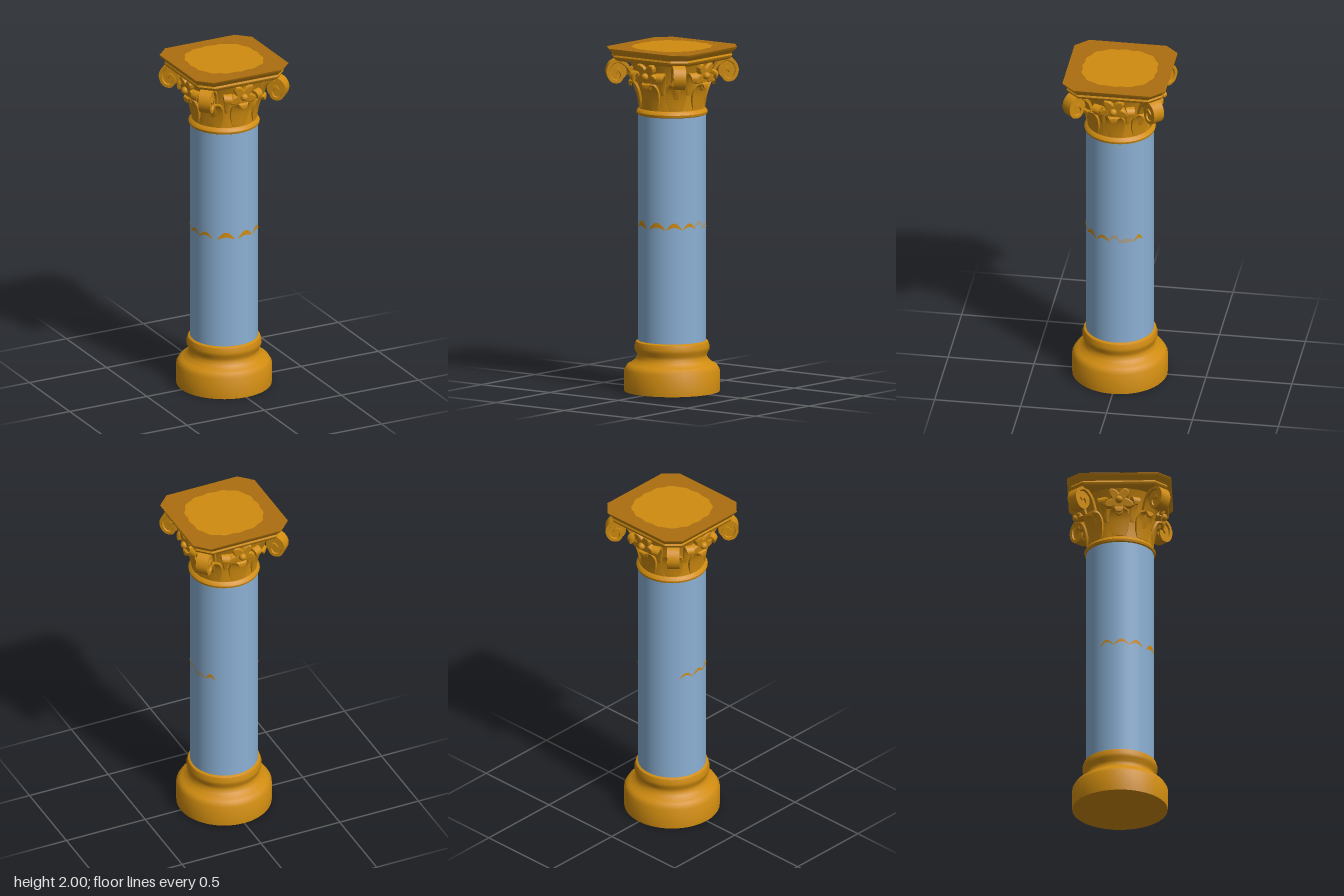
import * as THREE from 'three';
import { toCreasedNormals } from 'three/addons/utils/BufferGeometryUtils.js';

const mat = (name, color) => new THREE.MeshStandardMaterial({ name, color });

// Skin closed rings (clockwise seen from above, bottom to top) and cap both ends
function loft(rings) {
  const n = rings[0].length, index = [];
  for (let j = 0; j < rings.length - 1; j++) {
    for (let i = 0; i < n; i++) {
      const k = (i + 1) % n, a = j * n + i, b = j * n + k;
      index.push(a, a + n, b + n, a, b + n, b);
    }
  }
  const e = (rings.length - 1) * n;
  for (let i = 1; i < n - 1; i++) index.push(0, i, i + 1, e, e + i + 1, e + i);
  const g = new THREE.BufferGeometry();
  g.setAttribute('position', new THREE.Float32BufferAttribute(rings.flat(2), 3));
  g.setIndex(index);
  return toCreasedNormals(g, 0.7);
}

// Strip that follows a path of [radius, height, half width], bending outward along +z
function ribbon(path, t, steps) {
  const curve = new THREE.CatmullRomCurve3(path.map(([r, y, w]) => new THREE.Vector3(w, y, r)));
  const rings = [];
  for (let i = 0; i <= steps; i++) {
    const p = curve.getPoint(i / steps), d = curve.getTangent(i / steps);
    const l = Math.hypot(d.y, d.z), ny = -d.z / l * t, nz = d.y / l * t, w = Math.max(p.x, 0.004);
    rings.push([[-w, -1], [w, -1], [w, 0.4], [w * 0.4, 1], [-w * 0.4, 1], [-w, 0.4]]
      .map(([x, s]) => [x, p.y + ny * s, p.z + nz * s]));
  }
  return loft(rings);
}

// Chamfered square outline
function octagon(h, c, y) {
  return [[-c, -h], [c, -h], [h, -c], [h, c], [c, h], [-c, h], [-h, c], [-h, -c]].map(([x, z]) => [x, y, z]);
}

function lathe(points, segments = 40) {
  return toCreasedNormals(new THREE.LatheGeometry(points.map(p => new THREE.Vector2(...p)), segments), 0.7);
}

// Thin crest-shaped patch wrapped on the shaft
function crest(angle, half, rise, thick) {
  const pos = [], index = [], n = 12, r = 0.1975;
  for (let i = 0; i <= n; i++) {
    const s = i / n * 2 - 1, a = angle + s * half;
    const mid = 0.96 + rise * Math.cos(s * Math.PI / 2), t = thick * (1 - s * s) + 0.003;
    for (const y of [mid - t, mid + t]) pos.push(r * Math.sin(a), y, r * Math.cos(a));
    if (i < n) index.push(2 * i, 2 * i + 2, 2 * i + 3, 2 * i, 2 * i + 3, 2 * i + 1);
  }
  const g = new THREE.BufferGeometry();
  g.setAttribute('position', new THREE.Float32BufferAttribute(pos, 3));
  g.setIndex(index);
  g.computeVertexNormals();
  return g;
}

export function createModel() {
  const model = new THREE.Group();
  const gold = mat('gold', 0xd08c10), bronze = mat('bronze', 0xad6e10);
  const blue = mat('blue', 0x8bb0d4), pale = mat('pale', 0xa8a292);
  const add = (name, geo, m, parent = model) => {
    const mesh = new THREE.Mesh(geo, m);
    mesh.name = name;
    parent.add(mesh);
    return mesh;
  };
  const ring = (name, count, offset, build) => {
    for (let i = 0; i < count; i++) {
      const g = new THREE.Group();
      g.name = name;
      g.rotation.y = offset + i * Math.PI * 2 / count;
      build(g);
      model.add(g);
    }
  };

  // Round moulded base
  add('base', lathe([[0, 0], [0.275, 0], [0.275, 0.125], [0.258, 0.152], [0.24, 0.16], [0.215, 0.18],
    [0.202, 0.2], [0.203, 0.22], [0.215, 0.24], [0.217, 0.26], [0.208, 0.288], [0.19, 0.298], [0, 0.298]]), gold);

  // Shaft and its broken wavy band
  const shaft = add('shaft', new THREE.CylinderGeometry(0.195, 0.195, 1.33, 64, 1, true), blue);
  shaft.position.y = 0.95;
  for (const [a, h, t] of [[-1.95, 0.2, 0.004], [-1.5, 0.22, 0.006], [-1.05, 0.22, 0.007], [-0.42, 0.25, 0.012],
    [0.2, 0.25, 0.011], [0.73, 0.22, 0.01], [1.2, 0.2, 0.007], [2.3, 0.14, 0.008]]) {
    add('bandPatch', crest(a, h, 0.025, t), gold);
  }
  add('paleBandPatch', crest(1.56, 0.2, 0.035, 0.01), pale);
  add('paleBandPatch', crest(1.92, 0.24, 0.01, 0.012), pale);

  // Neck ring and flared bell of the capital
  add('capitalBell', lathe([[0, 1.605], [0.19, 1.605], [0.203, 1.612], [0.206, 1.625], [0.198, 1.638], [0.188, 1.645],
    [0.188, 1.7], [0.195, 1.76], [0.21, 1.83], [0.23, 1.89], [0.25, 1.935], [0, 1.935]]), gold);

  // Leaves hugging the bell with curled tips
  const leaf = ribbon([[0.182, 1.65, 0.04], [0.19, 1.71, 0.055], [0.203, 1.765, 0.058], [0.223, 1.8, 0.045],
    [0.24, 1.8, 0.028], [0.24, 1.778, 0.012]], 0.009, 16);
  ring('leaf', 8, 0, g => add('leafBlade', leaf, gold, g));

  // Small curls between the leaves
  const curl = ribbon([[0.19, 1.74, 0.012], [0.212, 1.82, 0.022], [0.24, 1.865, 0.026], [0.262, 1.85, 0.022],
    [0.256, 1.825, 0.012]], 0.01, 14);
  ring('curl', 8, Math.PI / 8, g => add('curlBlade', curl, gold, g));

  // Corner scrolls
  const scroll = ribbon([[0.19, 1.72, 0.022], [0.222, 1.81, 0.03], [0.258, 1.885, 0.036], [0.31, 1.922, 0.038],
    [0.353, 1.905, 0.036], [0.37, 1.86, 0.035], [0.348, 1.813, 0.035], [0.31, 1.81, 0.035],
    [0.295, 1.845, 0.035], [0.315, 1.87, 0.035], [0.333, 1.852, 0.034]], 0.013, 44);
  ring('cornerScroll', 4, Math.PI / 4, g => {
    add('scrollBand', scroll, gold, g);
    const eye = add('scrollEye', new THREE.CylinderGeometry(0.05, 0.05, 0.052, 18), gold, g);
    eye.rotation.z = Math.PI / 2;
    eye.position.set(0, 1.86, 0.315);
  });

  // Five-lobed flower in the middle of each side
  const petals = new THREE.Shape();
  for (let i = 0; i <= 40; i++) {
    const a = i / 40 * Math.PI * 2, r = 0.058 + 0.022 * Math.cos(5 * a);
    petals[i ? 'lineTo' : 'moveTo'](r * Math.sin(a), -r * Math.cos(a));
  }
  const flower = new THREE.ExtrudeGeometry(petals, { depth: 0.03, bevelSize: 0.008, bevelThickness: 0.008, bevelSegments: 2 });
  ring('flower', 4, 0, g => {
    const f = add('petals', flower, gold, g);
    f.position.set(0, 1.855, 0.208);
    f.rotation.x = 0.2;
    const bud = add('bud', new THREE.SphereGeometry(0.022, 12, 8), gold, g);
    bud.position.set(0, 1.85, 0.252);
  });

  // Moulded slab with cut corners
  const slab = [[0.255, 0.19, 1.925], [0.272, 0.203, 1.935], [0.278, 0.208, 1.95], [0.274, 0.205, 1.96],
    [0.28, 0.21, 1.97], [0.294, 0.22, 1.985], [0.3, 0.225, 1.998]];
  add('topSlab', loft(slab.map(s => octagon(...s))), gold);
  add('topFace', loft([octagon(0.3, 0.225, 1.997), octagon(0.3, 0.225, 1.999)]), bronze);

  // Scalloped inlay on top
  const disc = new THREE.Shape();
  for (let i = 0; i < 96; i++) {
    const a = i / 96 * Math.PI * 2, r = 0.223 - 0.008 * Math.cos(4 * a) + 0.004 * Math.cos(16 * a);
    disc[i ? 'lineTo' : 'moveTo'](r * Math.cos(a), r * Math.sin(a));
  }
  const inlay = add('topInlay', new THREE.ShapeGeometry(disc), gold);
  inlay.rotation.x = -Math.PI / 2;
  inlay.position.y = 2;
  return model;
}
